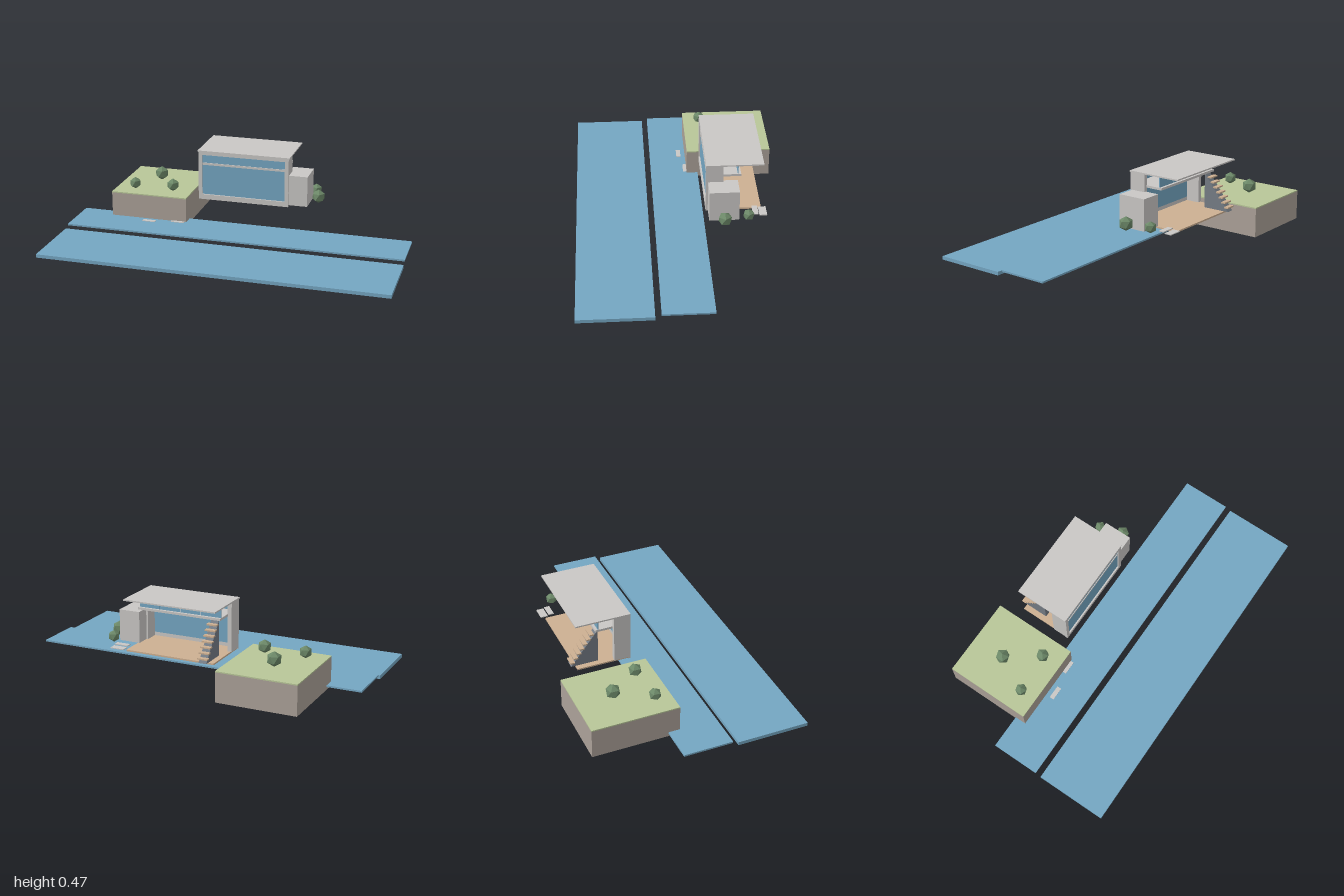
import * as THREE from 'three';

export function createModel() {
  const model = new THREE.Group();
  model.name = 'cliffHouse';

  const mat = (name, color, extra = {}) => {
    const m = new THREE.MeshStandardMaterial({ color, ...extra });
    m.name = name;
    return m;
  };
  const water = mat('water', 0x74a6c2);
  const wall = mat('concrete', 0xc9c7c5);
  const grass = mat('grass', 0xb8c698);
  const earth = mat('earth', 0xaba198);
  const wood = mat('wood', 0xcdb092);
  const slate = mat('slate', 0x757c85);
  const leaf = mat('foliage', 0x6c8868, { flatShading: true });

  const add = (name, geometry, material) => {
    const mesh = new THREE.Mesh(geometry, material);
    mesh.name = name;
    model.add(mesh);
    return mesh;
  };
  // Box given by its limits on each axis
  const box = (name, material, [x0, x1], [y0, y1], [z0, z1]) => {
    const mesh = add(name, new THREE.BoxGeometry(x1 - x0, y1 - y0, z1 - z0), material);
    mesh.position.set((x0 + x1) / 2, (y0 + y1) / 2, (z0 + z1) / 2);
    return mesh;
  };

  // Water terraces
  box('lowerWater', water, [-1, 1], [0, 0.02], [0.167, 0.582]);
  box('upperWater', water, [-1, 1], [0.027, 0.037], [-0.149, 0.134]);

  // Raised garden
  box('gardenEarth', earth, [-0.8, -0.335], [0.011, 0.18], [-0.583, -0.083]);
  box('gardenGrass', grass, [-0.8, -0.335], [0.18, 0.187], [-0.583, -0.083]);

  // Stepping stones
  box('steppingStone', wall, [-0.593, -0.515], [0.035, 0.04], [-0.057, -0.031]);
  box('steppingStone', wall, [-0.425, -0.345], [0.035, 0.04], [-0.09, -0.062]);

  // House floor, roof, side walls and annex
  box('floor', wood, [-0.27, 0.265], [0.17, 0.179], [-0.46, -0.15]);
  box('roof', wall, [-0.28, 0.275], [0.461, 0.469], [-0.468, -0.148]);
  box('rightWall', wall, [-0.275, -0.25], [0.178, 0.461], [-0.244, -0.16]);
  box('leftWall', wall, [0.245, 0.27], [0.178, 0.461], [-0.244, -0.16]);
  box('annex', wall, [0.255, 0.38], [0.179, 0.36], [-0.326, -0.16]);

  // Front frame with its window opening
  const frame = new THREE.Shape([[-0.275, 0.17], [0.27, 0.17], [0.27, 0.461], [-0.275, 0.461]]
    .map(p => new THREE.Vector2(...p)));
  frame.holes.push(new THREE.Path([[-0.253, 0.2], [-0.253, 0.444], [0.247, 0.444], [0.247, 0.2]]
    .map(p => new THREE.Vector2(...p))));
  add('frontFrame', new THREE.ExtrudeGeometry(frame, { depth: 0.014, bevelEnabled: false }), wall)
    .position.z = -0.162;
  box('frontGlass', water, [-0.253, 0.247], [0.2, 0.444], [-0.162, -0.157]);

  // Mezzanine with glass railing panels
  box('mezzanine', wall, [-0.253, 0.25], [0.382, 0.395], [-0.345, -0.153]);
  const panels = 4, pitch = 0.5 / panels;
  for (let i = 0; i < panels; i++) {
    const x = -0.252 + i * pitch;
    box('railingPanel', water, [x, x + pitch - 0.003], [0.395, 0.453], [-0.33, -0.326]);
  }

  // Staircase: wedge body with projecting treads
  const wedge = new THREE.Shape([[0.326, 0.179], [0.486, 0.179], [0.326, 0.382]]
    .map(p => new THREE.Vector2(...p)));
  const body = add('stairBody',
    new THREE.ExtrudeGeometry(wedge, { depth: 0.046, bevelEnabled: false }), slate);
  body.rotation.y = Math.PI / 2;
  body.position.x = -0.238;
  for (let i = 0; i < 7; i++) {
    const y = 0.3625 - i * 0.0266, z = -0.363 - i * 0.019;
    box('stairTread', wood, [-0.245, -0.185], [y - 0.004, y + 0.004], [z - 0.013, z + 0.013]);
  }

  // Side entry steps
  box('entryStep', wall, [0.27, 0.352], [0.189, 0.194], [-0.437, -0.405]);
  box('entryStep', wall, [0.27, 0.352], [0.182, 0.187], [-0.485, -0.442]);

  // Faceted bushes, each resting on one corner
  const bush = new THREE.IcosahedronGeometry(1, 0);
  bush.rotateX(-Math.atan((1 + Math.sqrt(5)) / 2));
  bush.rotateY(Math.PI / 2);
  for (const [x, y, z, r] of [
    [-0.585, 0.228, -0.378, 0.043],
    [-0.685, 0.221, -0.178, 0.036],
    [-0.452, 0.224, -0.195, 0.039],
    [0.39, 0.217, -0.377, 0.034],
    [0.43, 0.222, -0.243, 0.041],
  ]) {
    const mesh = add('bush', bush, leaf);
    mesh.position.set(x, y, z);
    mesh.scale.setScalar(r);
  }
  return model;
}
